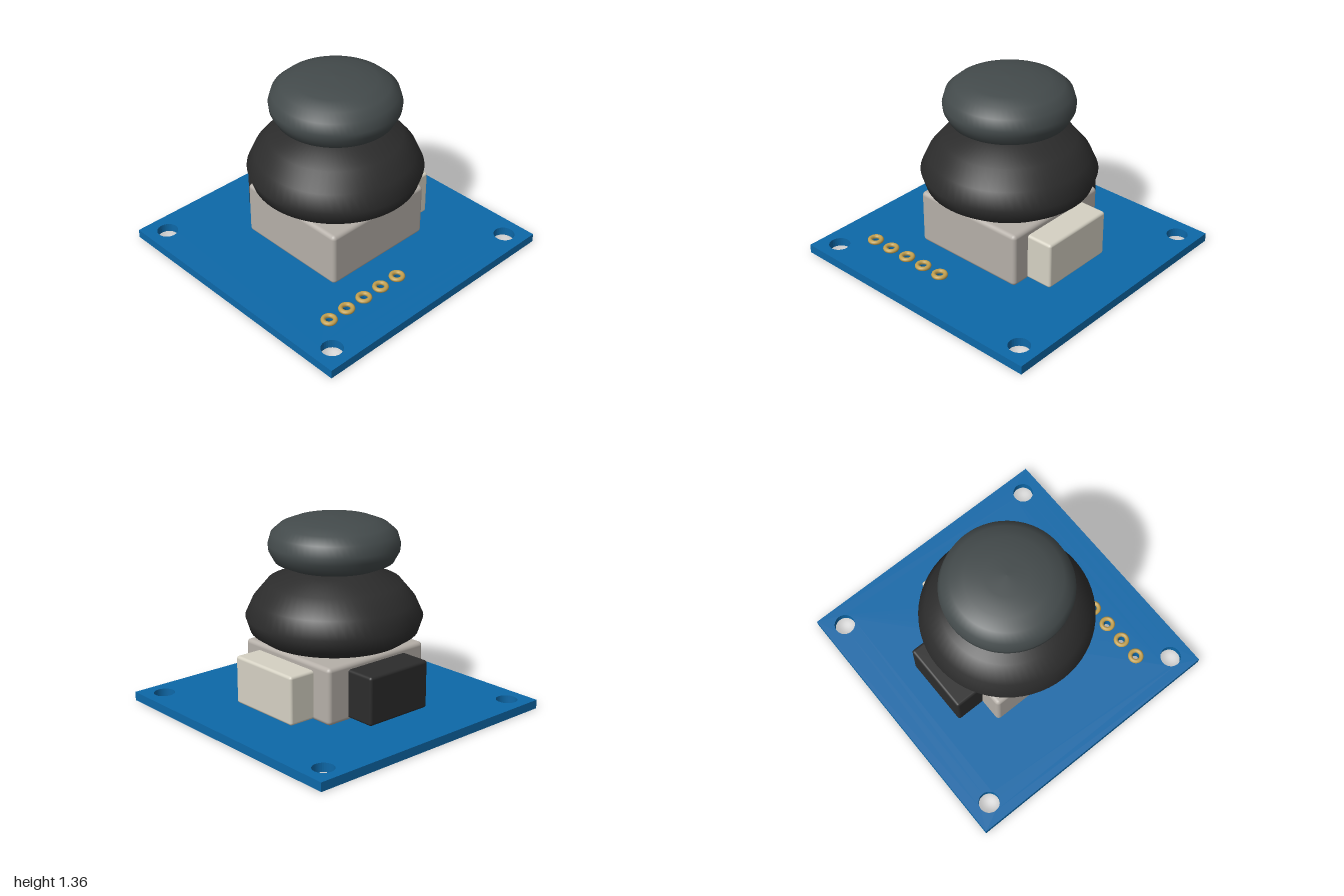
import * as THREE from 'three';
import { RoundedBoxGeometry } from 'three/addons/geometries/RoundedBoxGeometry.js';

export function createModel() {
  const model = new THREE.Group();
  model.name = 'joystickModule';

  const material = (name, color) => {
    const m = new THREE.MeshStandardMaterial({ color });
    m.name = name;
    return m;
  };
  const boardBlue = material('boardBlue', 0x0d68a8);
  const housingGrey = material('housingGrey', 0xb5afa8);
  const sensorCream = material('sensorCream', 0xd5d1c3);
  const plasticBlack = material('plasticBlack', 0x2c2c2c);
  const capGrey = material('capGrey', 0x434a4b);
  const padGold = material('padGold', 0xc2a050);

  const add = (name, geometry, mat, x = 0, y = 0, z = 0) => {
    const mesh = new THREE.Mesh(geometry, mat);
    mesh.name = name;
    mesh.position.set(x, y, z);
    model.add(mesh);
    return mesh;
  };

  // Rounded block given by its minimum and maximum corners
  const block = (name, min, max, radius, mat) => {
    const size = max.map((v, i) => v - min[i]);
    const mid = max.map((v, i) => (v + min[i]) / 2);
    add(name, new RoundedBoxGeometry(...size, 3, radius), mat, ...mid);
  };

  // Circuit board with corner holes and a row of pin holes
  const boardTop = 0.063;
  const pinXs = [-0.69, -0.53, -0.37, -0.21, -0.05];
  const pinZ = 0.655;
  const outline = new THREE.Shape();
  outline.moveTo(-1, -1).lineTo(1, -1).lineTo(1, 1).lineTo(-1, 1).closePath();
  const drill = (x, z, r) =>
    outline.holes.push(new THREE.Path().absarc(x, -z, r, 0, Math.PI * 2, true));
  for (const x of [-0.853, 0.853]) for (const z of [-0.853, 0.853]) drill(x, z, 0.075);
  for (const x of pinXs) drill(x, pinZ, 0.025);
  const boardGeometry = new THREE.ExtrudeGeometry(outline, {
    depth: boardTop, bevelEnabled: false, curveSegments: 16,
  });
  boardGeometry.rotateX(-Math.PI / 2);
  add('circuitBoard', boardGeometry, boardBlue);

  // Gold rings around the pin holes
  for (const x of pinXs) {
    const ring = new THREE.TorusGeometry(0.041, 0.0165, 10, 28);
    ring.rotateX(Math.PI / 2);
    add('pinPad', ring, padGold, x, 0.075, pinZ);
  }

  // Housing with a sensor on its left side and another at the back
  block('housing', [-0.435, 0.08, -0.435], [0.435, 0.48, 0.435], 0.03, housingGrey);
  block('sideSensor', [0.37, 0.09, -0.28], [0.63, 0.432, 0.30], 0.02, sensorCream);
  block('backSensor', [-0.26, 0.1, -0.65], [0.265, 0.44, -0.37], 0.02, plasticBlack);

  // Stem
  add('stem', new THREE.CylinderGeometry(0.115, 0.115, 0.4, 32), housingGrey, 0, 0.66, 0);

  // Turned solids, profile listed from bottom to top
  const lathe = (name, profile, mat) =>
    add(name, new THREE.LatheGeometry(profile.map(([r, y]) => new THREE.Vector2(r, y)), 64), mat);

  lathe('skirtDome', [
    [0.5, 0.52], [0.58, 0.575], [0.612, 0.675], [0.56, 0.79],
    [0.46, 0.91], [0.26, 0.98], [0.18, 1.0], [0, 1.005],
  ], plasticBlack);
  const underside = new THREE.CircleGeometry(0.5, 64);
  underside.rotateX(Math.PI / 2);
  add('skirtUnderside', underside, plasticBlack, 0, 0.52, 0);

  lathe('thumbCap', [
    [0, 0.995], [0.21, 1.0], [0.334, 1.027], [0.41, 1.06], [0.447, 1.128], [0.452, 1.176],
    [0.43, 1.25], [0.37, 1.302], [0.28, 1.337], [0.15, 1.357], [0, 1.362],
  ], capGrey);

  return model;
}
